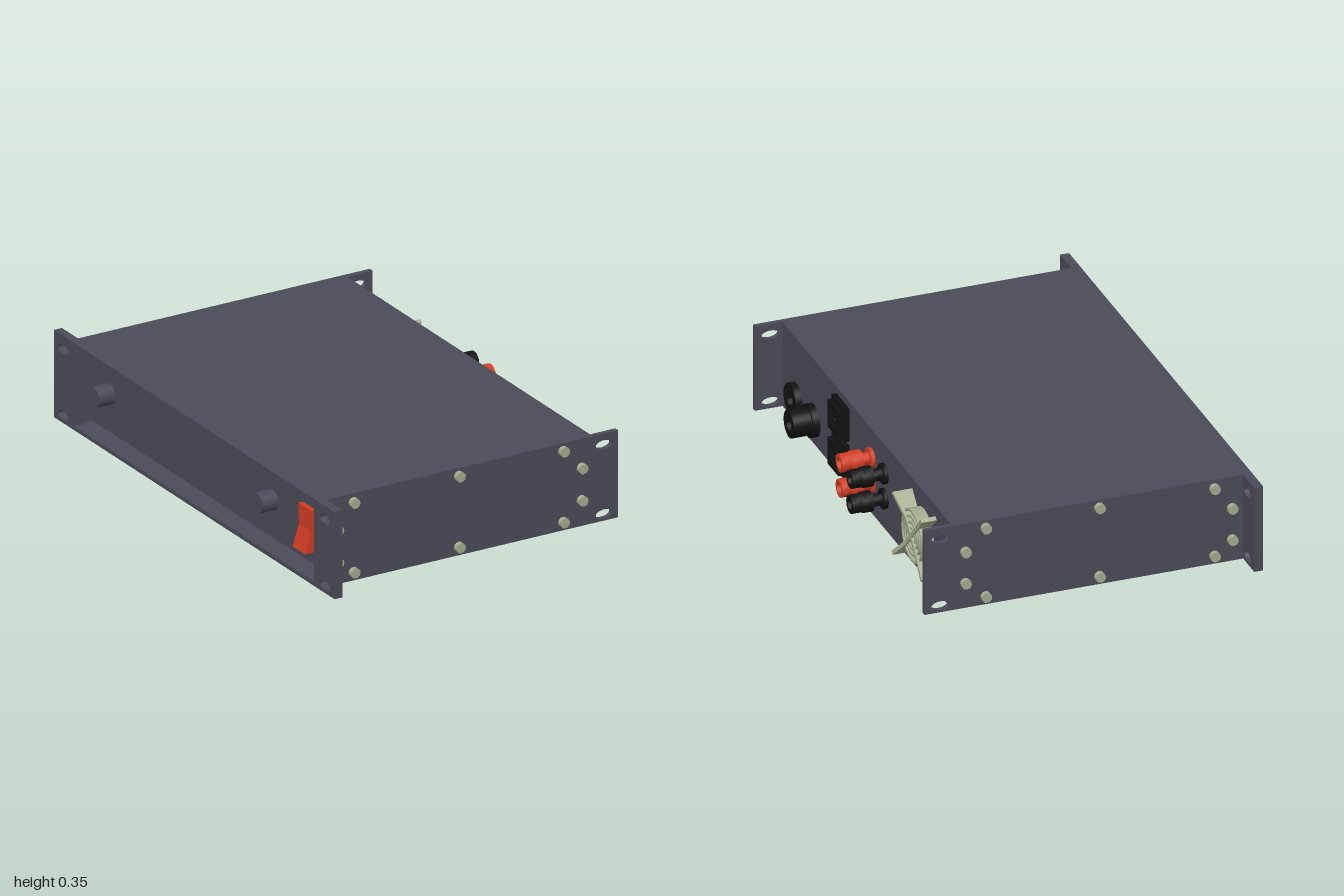
import * as THREE from 'three';
import { toCreasedNormals } from 'three/addons/utils/BufferGeometryUtils.js';

const paint = (name, color) => {
  const m = new THREE.MeshStandardMaterial({ color });
  m.name = name;
  return m;
};

export function createModel() {
  const root = new THREE.Group();
  root.name = 'rackAmplifier';
  const steel = paint('dark grey steel', 0x4b4a58);
  const black = paint('black plastic', 0x111112);
  const red = paint('red plastic', 0xd23c22);
  const pale = paint('pale green metal', 0xa2ab8e);

  const add = (name, geo, mat, x = 0, y = 0, z = 0) => {
    const m = new THREE.Mesh(geo, mat);
    m.name = name;
    m.position.set(x, y, z);
    root.add(m);
    return m;
  };
  // box given by its minimum and maximum corners
  const box = (name, mat, [x0, y0, z0], [x1, y1, z1]) =>
    add(name, new THREE.BoxGeometry(x1 - x0, y1 - y0, z1 - z0), mat,
      (x0 + x1) / 2, (y0 + y1) / 2, (z0 + z1) / 2);
  // turned part whose axis runs along +x; profile points are [radius, distance]
  const turned = (pts, sides = 32) => toCreasedNormals(
    new THREE.LatheGeometry(pts.map(p => new THREE.Vector2(...p)), sides)
      .rotateZ(-Math.PI / 2), 0.6);
  const tube = (ri, ro, h) => turned([[ri, 0], [ro, 0], [ro, h], [ri, h], [ri, 0]]);
  // flat plate with oval slots
  const slotted = (u0, u1, slots, depth) => {
    const s = new THREE.Shape();
    s.moveTo(u0, 0).lineTo(u1, 0).lineTo(u1, 0.35).lineTo(u0, 0.35).closePath();
    for (const [u, v] of slots) {
      const h = new THREE.Path();
      h.absellipse(u, v, 0.035, 0.018, 0, Math.PI * 2, true);
      s.holes.push(h);
    }
    return new THREE.ExtrudeGeometry(s, { depth, bevelEnabled: false, curveSegments: 24 });
  };

  const H = 0.35, T = 0.016, FRONT = -0.665, REAR = 0.52, WALL = -0.58;

  // case sheets, with the control panel set back behind the front opening
  box('bottomSheet', steel, [FRONT, 0, -0.866], [REAR, T, 0.866]);
  box('topSheet', steel, [FRONT, H - T, -0.866], [REAR, H, 0.866]);
  box('controlPanel', steel, [WALL, T, -0.866], [WALL + 0.015, H - T, 0.866]);
  box('rearPanel', steel, [REAR - 0.015, T, -0.866], [REAR, H - T, 0.866]);

  // side plates, rack ears and screws, mirrored
  const screws = [[-0.585, 0.22], [-0.585, 0.09], [-0.515, 0.315], [-0.515, 0.035],
    [-0.06, 0.32], [-0.06, 0.035], [0.39, 0.32], [0.39, 0.035], [0.47, 0.235], [0.47, 0.105]];
  const screwGeo = new THREE.CylinderGeometry(0.02, 0.02, 0.02, 12).rotateX(Math.PI / 2);
  for (const s of [1, -1]) {
    const side = s > 0 ? 'left' : 'right';
    add(side + 'SidePlate', slotted(FRONT + 0.035, 0.63, [[0.568, 0.305], [0.568, 0.027]], 0.02),
      steel, 0, 0, s > 0 ? 0.865 : -0.885);
    const u = [-0.855 * s, -s].sort((a, b) => a - b);
    const ear = slotted(u[0], u[1], [[-0.932 * s, 0.295], [-0.932 * s, 0.03]], 0.035);
    add(side + 'RackEar', ear.rotateY(Math.PI / 2), steel, FRONT);
    for (const [x, y] of screws) add(side + 'Screw', screwGeo, pale, x, y, s * 0.895);
  }

  // controls in the front recess
  const knob = new THREE.CylinderGeometry(0.04, 0.04, 0.07, 32).rotateZ(Math.PI / 2);
  for (const z of [0.42, -0.74]) add('controlKnob', knob, steel, WALL - 0.035, 0.17, z);
  const rocker = new THREE.Shape();
  rocker.moveTo(0, -0.085).lineTo(0, 0.085).lineTo(-0.02, 0.085)
    .lineTo(-0.018, 0).lineTo(-0.045, -0.085).closePath();
  add('powerSwitch', new THREE.ExtrudeGeometry(rocker, { depth: 0.09, bevelEnabled: false }),
    red, WALL, 0.155, 0.635);

  // round rear connectors
  add('shortConnector', tube(0.027, 0.065, 0.027), black, REAR, 0.1, 0.72);
  add('longConnector', turned([[0.027, 0], [0.065, 0], [0.065, 0.027], [0.054, 0.027],
    [0.054, 0.1], [0.027, 0.1], [0.027, 0]]), black, REAR, 0.1, 0.54);

  // square sockets: base, raised rim and centre key
  for (const y of [0.255, 0.1]) {
    const z = 0.242;
    box('socketBase', black, [REAR, y - 0.068, z - 0.068], [REAR + 0.02, y + 0.068, z + 0.068]);
    for (const s of [1, -1]) {
      const c = s * 0.046;
      box('socketRim', black, [REAR + 0.02, y + c - 0.01, z - 0.056], [REAR + 0.04, y + c + 0.01, z + 0.056]);
      box('socketRim', black, [REAR + 0.02, y - 0.036, z + c - 0.01], [REAR + 0.04, y + 0.036, z + c + 0.01]);
    }
    add('socketKey', tube(0.008, 0.022, 0.012), black, REAR + 0.02, y, z);
  }

  // speaker terminals: washer, neck and grip with a hollow end
  const terminal = (l) => turned([[0, 0], [0.04, 0], [0.04, 0.015], [0.024, 0.015],
    [0.024, l - 0.085], [0.04, l - 0.085], [0.04, l - 0.045], [0.036, l - 0.04], [0.036, l],
    [0.022, l], [0.022, l - 0.02], [0, l - 0.02]], 12);
  for (const y of [0.232, 0.128]) {
    add('redTerminal', terminal(0.13), red, REAR, y, -0.055);
    add('blackTerminal', terminal(0.14), black, REAR, y, -0.19);
  }

  // fan guard: concentric rings and two deep crossed arms
  const guard = new THREE.Group();
  guard.name = 'fanGuard';
  guard.position.set(REAR, 0.175, -0.592);
  root.add(guard);
  for (const r of [0.105, 0.08, 0.057, 0.034]) {
    const ring = new THREE.Mesh(tube(r - 0.009, r, 0.05), pale);
    ring.name = 'guardRing';
    guard.add(ring);
  }
  const arm = new THREE.Shape();
  arm.moveTo(0, -0.178).lineTo(0.078, -0.178).lineTo(0.055, -0.07)
    .lineTo(0.055, 0.07).lineTo(0.06, 0.178).lineTo(0, 0.178).closePath();
  const armGeo = new THREE.ExtrudeGeometry(arm, { depth: 0.016, bevelEnabled: false })
    .translate(0, 0, -0.008);
  for (const a of [-1, -3]) {
    const m = new THREE.Mesh(armGeo, pale);
    m.name = 'guardArm';
    m.rotation.x = a * Math.PI / 4;
    guard.add(m);
  }
  return root;
}
